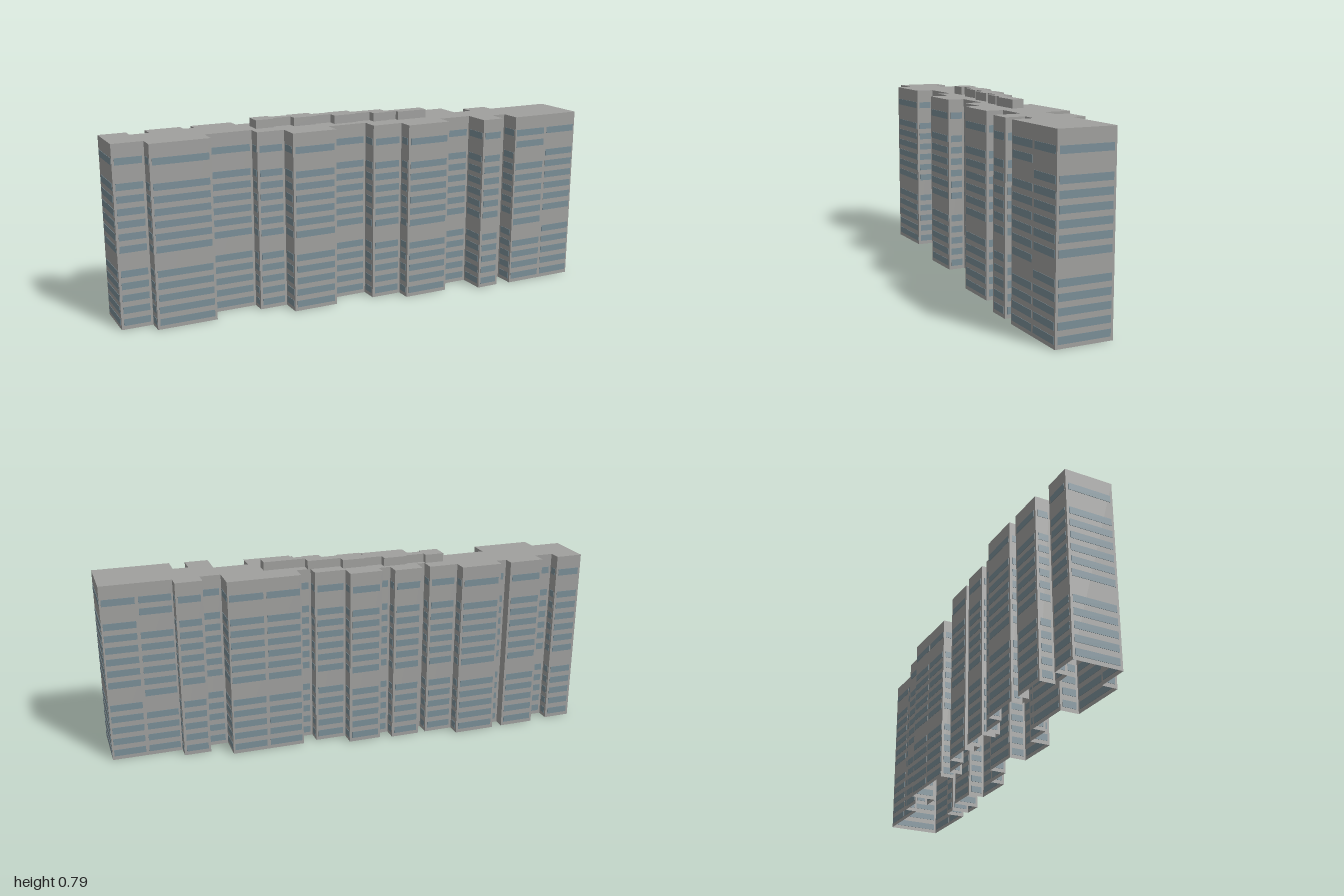
import * as THREE from 'three';
import { mergeGeometries } from 'three/addons/utils/BufferGeometryUtils.js';

const HEIGHT = 0.75, FLOOR = 0.05, ANGLE = 0.451;
const LEFT = -1.01;

// stepped facades as runs of [depth, where the run ends along the block]
const FRONT = [
  [-0.012, -0.882], [0.052, -0.634], [-0.026, -0.435], [0.03, -0.317], [0.117, -0.125],
  [0.045, 0.046], [0.118, 0.178], [0.181, 0.374], [0.11, 0.519], [0.225, 0.616],
  [0.145, 0.68], [0.232, 0.997],
];
const BACK = [
  [-0.208, -0.897], [-0.158, -0.818], [-0.22, -0.67], [-0.177, -0.625], [-0.222, -0.45],
  [-0.167, -0.448], [-0.167, -0.327], [-0.109, -0.293], [-0.169, -0.172], [-0.115, -0.121],
  [-0.156, 0.016], [-0.094, 0.147], [-0.038, 0.207], [-0.106, 0.512], [0.004, 0.597],
  [-0.053, 0.708], [0, 0.997],
];

// floors that carry window bands, and the staggered set used beside the tall end bay
const BANDS = [0, 1, 2, 3, 4, 6, 7, 8, 9, 10, 11, 13];
const STAGGERED = [0, 1, 2, 3, 5, 6, 7, 8, 9, 10, 12, 13];

function facade(runs) {
  const points = [];
  let s = LEFT;
  for (const [d, end] of runs) {
    points.push([s, d], [end, d]);
    s = end;
  }
  return points;
}

// place a wall-aligned geometry between fractions of an edge
function alongEdge(geometry, a, b, t, y) {
  geometry.rotateY(-Math.atan2(b[1] - a[1], b[0] - a[0]));
  return geometry.translate(a[0] + (b[0] - a[0]) * t, y, a[1] + (b[1] - a[1]) * t);
}

export function createModel() {
  const concrete = new THREE.MeshStandardMaterial({ color: 0xa0a09e, side: THREE.DoubleSide });
  concrete.name = 'concrete grey';
  const glass = new THREE.MeshStandardMaterial({ color: 0x7a8e97 });
  glass.name = 'window blue grey';

  const model = new THREE.Group();
  model.name = 'apartmentBlock';
  const block = new THREE.Group();
  block.name = 'block';
  block.rotation.y = ANGLE;
  model.add(block);

  const add = (name, geometry, material) => {
    const mesh = new THREE.Mesh(geometry, material);
    mesh.name = name;
    block.add(mesh);
  };

  // front runs left to right, back returns right to left
  const outline = [...facade(FRONT), ...facade(BACK).reverse()];
  const walls = [], windows = [];

  outline.forEach((a, i) => {
    const b = outline[(i + 1) % outline.length];
    const length = Math.hypot(b[0] - a[0], b[1] - a[1]);
    if (length < 1e-4) return;
    walls.push(alongEdge(new THREE.PlaneGeometry(length, HEIGHT), a, b, 0.5, HEIGHT / 2));
    if (length < 0.045) return;

    // the long bays carry two panels of windows
    const isLong = length > 0.27;
    const panels = isLong ? [[0, 0.5], [0.5, 1]] : [[0, 1]];
    panels.forEach(([t0, t1], p) => {
      const margin = isLong ? 0.007 : 0.01;
      const width = length * (t1 - t0) - 2 * margin;
      const centre = (a[0] + b[0]) / 2;
      const inner = b[0] > a[0] ? p === 0 : p === 1;
      const floors = isLong && centre > 0.7 && inner ? STAGGERED : BANDS;
      for (const floor of floors) {
        const band = new THREE.BoxGeometry(width, 0.028, 0.003);
        windows.push(alongEdge(band, a, b, (t0 + t1) / 2, 0.03 + floor * FLOOR));
      }
    });
  });

  add('walls', mergeGeometries(walls), concrete);
  add('windowBands', mergeGeometries(windows), glass);

  // flat roof
  const shape = new THREE.Shape(outline.map(([s, d]) => new THREE.Vector2(s, -d)));
  const roof = new THREE.ShapeGeometry(shape);
  roof.rotateX(-Math.PI / 2).translate(0, HEIGHT, 0);
  add('roof', roof, concrete);

  // stepped plant rooms on the roof: start, end, back, front
  const rooms = [
    [-0.41, -0.33, -0.11, -0.04], [-0.33, -0.25, -0.09, -0.055], [-0.25, -0.15, -0.1, -0.02],
    [-0.15, -0.08, -0.07, -0.03], [-0.08, 0.02, -0.075, 0.01], [0.02, 0.09, -0.04, 0],
    [0.09, 0.16, -0.04, 0.035], [0.16, 0.2, 0, 0.03], [0.2, 0.335, 0, 0.05],
  ].map(([s0, s1, d0, d1]) =>
    new THREE.BoxGeometry(s1 - s0, 0.035, d1 - d0)
      .translate((s0 + s1) / 2, HEIGHT + 0.0175, (d0 + d1) / 2));
  add('roofPlantRooms', mergeGeometries(rooms), concrete);

  return model;
}
